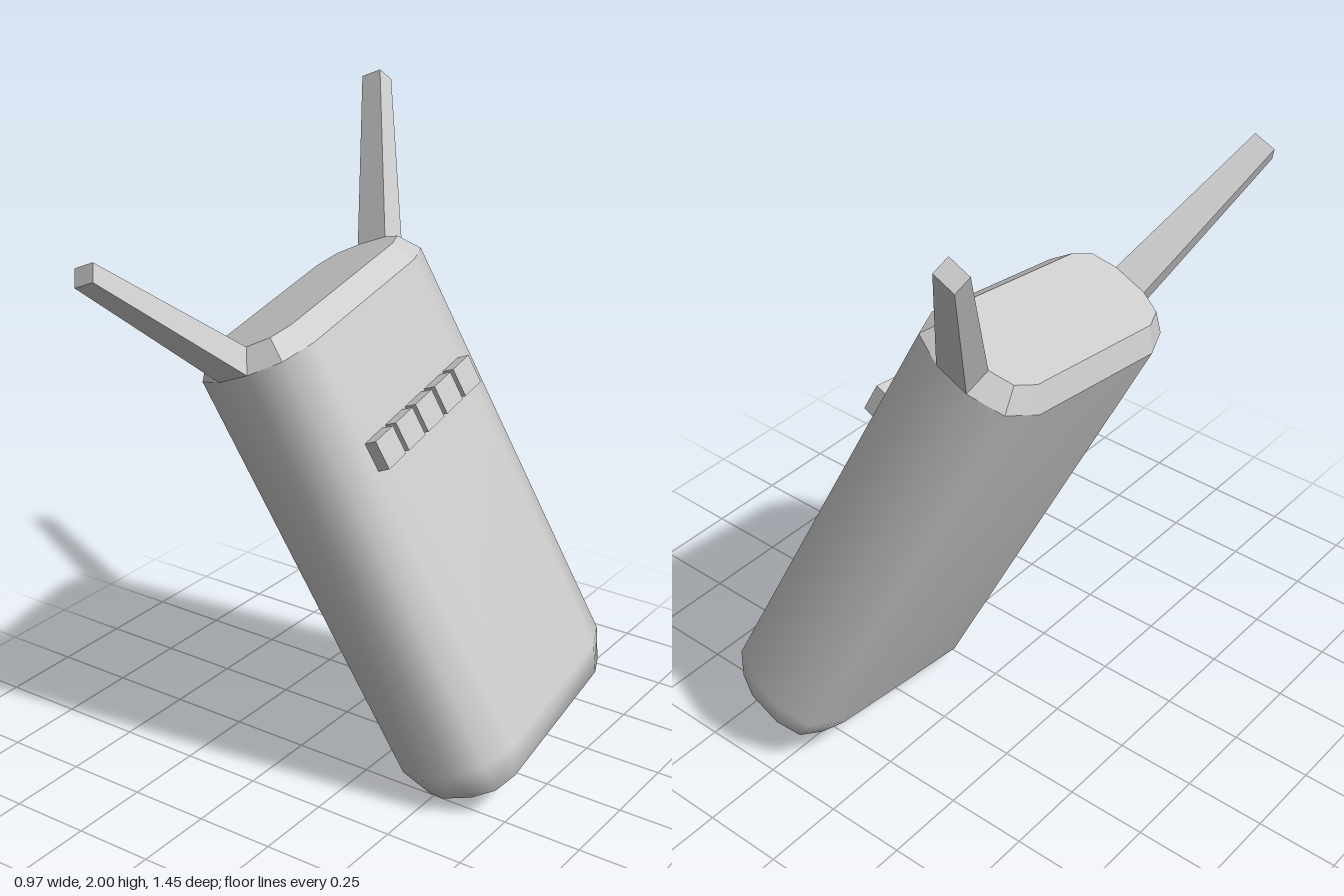
import * as THREE from 'three';
import { mergeVertices } from 'three/addons/utils/BufferGeometryUtils.js';

// Body half sizes: x = thickness, z = width; edges rounded in two steps
const HALF_T = 0.2, HALF_W = 0.415, R = 0.145;
const BOTTOM = -0.797, SHOULDER = 0.7, TOP = 0.765, TOP_R = 0.097;

// Cross-section of the body: rounded rectangle with corner radius r at height y
function ring(r, y) {
  const points = [];
  for (let corner = 0; corner < 4; corner++) {
    const sx = corner === 0 || corner === 3 ? 1 : -1;
    const sz = corner < 2 ? 1 : -1;
    for (let k = 0; k < 3; k++) {
      const a = corner * Math.PI / 2 + k * Math.PI / 4;
      points.push([sx * (HALF_T - R) + r * Math.cos(a), y, sz * (HALF_W - R) + r * Math.sin(a)]);
    }
  }
  return points;
}

// Skin a list of rings, optionally closing the first and last
function loft(rings, capStart, capEnd, smooth) {
  const n = rings[0].length, index = [];
  rings.slice(1).forEach((_, j) => {
    for (let i = 0; i < n; i++) {
      const a = j * n + i, b = j * n + (i + 1) % n;
      index.push(a, a + n, b, b, a + n, b + n);
    }
  });
  const last = (rings.length - 1) * n;
  for (let i = 1; i < n - 1; i++) {
    if (capStart) index.push(0, i, i + 1);
    if (capEnd) index.push(last, last + i + 1, last + i);
  }
  let geometry = new THREE.BufferGeometry();
  geometry.setAttribute('position', new THREE.Float32BufferAttribute(rings.flat(2), 3));
  geometry.setIndex(index);
  geometry = smooth ? mergeVertices(geometry) : geometry.toNonIndexed();
  geometry.computeVertexNormals();
  return geometry;
}

export function createModel() {
  const model = new THREE.Group();
  model.name = 'wirelessBox';
  const grey = new THREE.MeshStandardMaterial({ color: 0xcccccc });
  grey.name = 'light grey';

  // Everything is built upright, then leaned as one piece
  const device = new THREE.Group();
  device.name = 'leaningDevice';
  const up = new THREE.Vector3(-0.389, 0.903, 0.18).normalize();
  const face = new THREE.Vector3(0.919, 0.391, 0.025);
  const side = face.clone().cross(up).normalize();
  face.crossVectors(up, side);
  device.quaternion.setFromRotationMatrix(new THREE.Matrix4().makeBasis(face, up, side));
  device.position.set(0.04, 0.8, -0.2);
  model.add(device);

  const add = (name, geometry) => {
    const mesh = new THREE.Mesh(geometry, grey);
    mesh.name = name;
    device.add(mesh);
    return mesh;
  };

  // Smooth body with a rounded foot
  const bodyRings = [0, Math.PI / 4, Math.PI / 2].map(
    (a) => ring(R * Math.sin(a), BOTTOM + R * (1 - Math.cos(a))));
  add('body', loft([...bodyRings, ring(R, SHOULDER)], true, false, true));

  // Faceted bevel and flat top
  add('topBevel', loft([ring(R, SHOULDER), ring(TOP_R, TOP)], false, true, false));

  // Tapered antennas growing out of the end bevels
  const h = HALF_T - R, wTop = HALF_W - R + TOP_R;
  const base = [[-h, TOP, wTop], [h, TOP, wTop], [h, SHOULDER, HALF_W], [-h, SHOULDER, HALF_W]];
  const midY = (TOP + SHOULDER) / 2, midZ = (wTop + HALF_W) / 2, taper = 0.66;
  const tip = base.map(([x, y, z]) =>
    [x * taper - 0.006, 1.166 + (y - midY) * taper, 0.716 + (z - midZ) * taper]);
  const antenna = loft([base, tip], false, true, false);
  add('frontAntenna', antenna);
  add('backAntenna', antenna).rotation.y = Math.PI;

  // Row of five buttons on the broad face
  const button = new THREE.BoxGeometry(0.08, 0.09, 0.092);
  for (let i = -2; i <= 2; i++) {
    add('button' + (i + 3), button).position.set(HALF_T, 0.332, 0.003 + i * 0.109);
  }
  return model;
}
